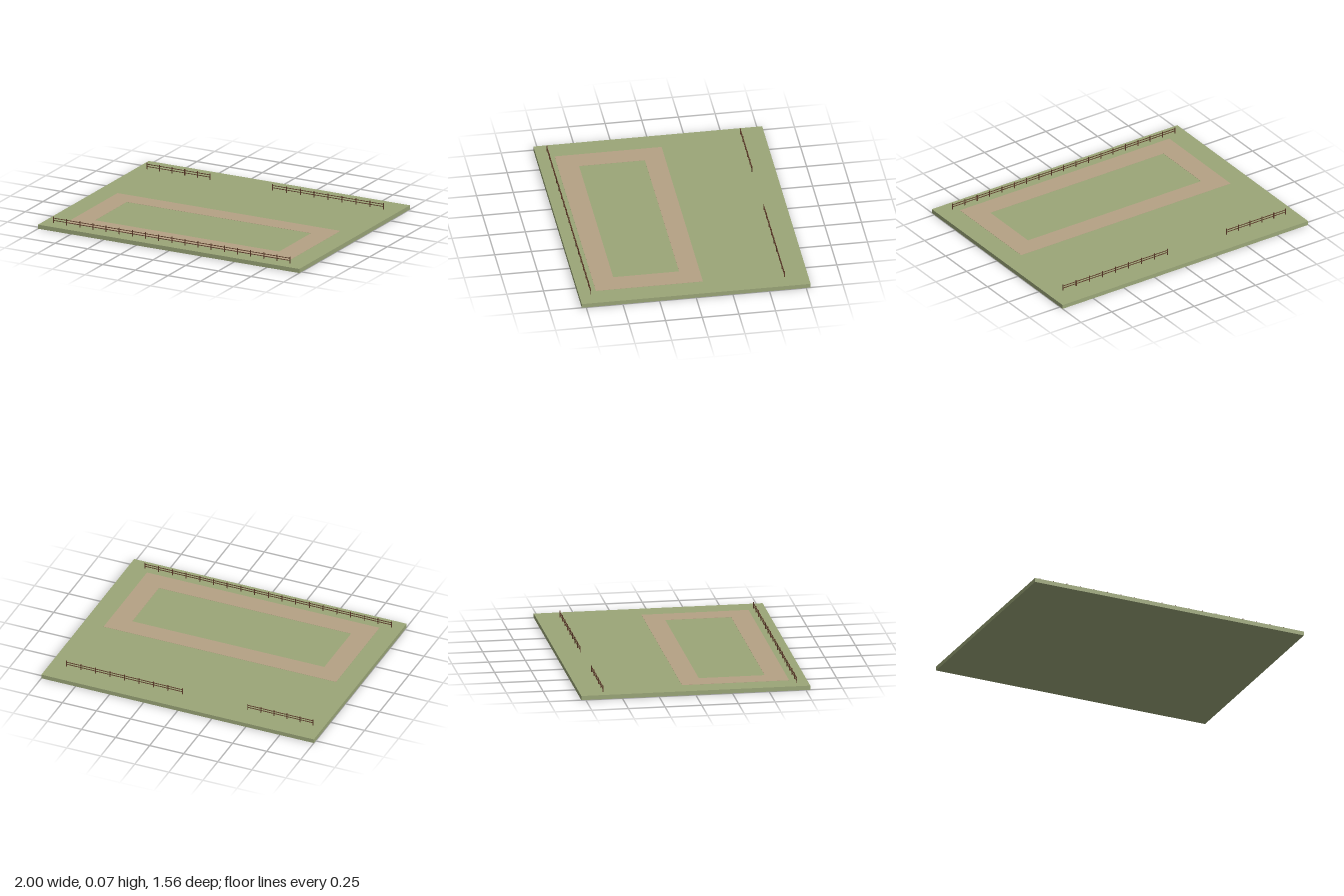
import * as THREE from 'three';

const groundGreen = new THREE.MeshStandardMaterial({ color: 0x9ba678 });
groundGreen.name = 'ground green';
const pathTan = new THREE.MeshStandardMaterial({ color: 0xb5a284 });
pathTan.name = 'path tan';
const fenceBrown = new THREE.MeshStandardMaterial({ color: 0x5e3d2b });
fenceBrown.name = 'fence brown';

const GROUND_TOP = 0.029;

function box(name, size, position, material) {
  const mesh = new THREE.Mesh(new THREE.BoxGeometry(...size), material);
  mesh.name = name;
  mesh.position.set(...position);
  return mesh;
}

// Post-and-rail fence running along x
function fence(name, x0, x1, z, bays) {
  const group = new THREE.Group();
  group.name = name;
  const height = 0.045;
  for (let i = 0; i <= bays; i++) {
    const x = x0 + ((x1 - x0) * i) / bays;
    group.add(box('fencePost', [0.005, height, 0.005], [x, GROUND_TOP + height / 2, z], fenceBrown));
  }
  for (const y of [0.048, 0.064]) {
    group.add(box('fenceRail', [x1 - x0, 0.004, 0.004], [(x0 + x1) / 2, y, z], fenceBrown));
  }
  return group;
}

// Rectangular track with an open middle
function track() {
  const rect = (path, x0, x1, z0, z1) =>
    path.moveTo(x0, -z1).lineTo(x1, -z1).lineTo(x1, -z0).lineTo(x0, -z0).closePath();
  const shape = new THREE.Shape();
  rect(shape, -0.853, 0.853, -0.07, 0.66);
  const hole = new THREE.Path();
  rect(hole, -0.707, 0.703, 0.068, 0.517);
  shape.holes.push(hole);
  const geometry = new THREE.ExtrudeGeometry(shape, { depth: 0.001, bevelEnabled: false });
  geometry.rotateX(-Math.PI / 2);
  const mesh = new THREE.Mesh(geometry, pathTan);
  mesh.name = 'dirtTrack';
  mesh.position.y = GROUND_TOP;
  return mesh;
}

export function createModel() {
  const model = new THREE.Group();
  model.name = 'paddock';
  model.add(box('ground', [2, GROUND_TOP, 1.56], [0, GROUND_TOP / 2, 0], groundGreen));
  model.add(track());
  model.add(fence('frontFence', -0.925, 0.886, 0.7, 18));
  model.add(fence('backFenceRight', -0.925, -0.445, -0.62, 5));
  model.add(fence('backFenceLeft', 0.035, 0.886, -0.62, 8));
  return model;
}
